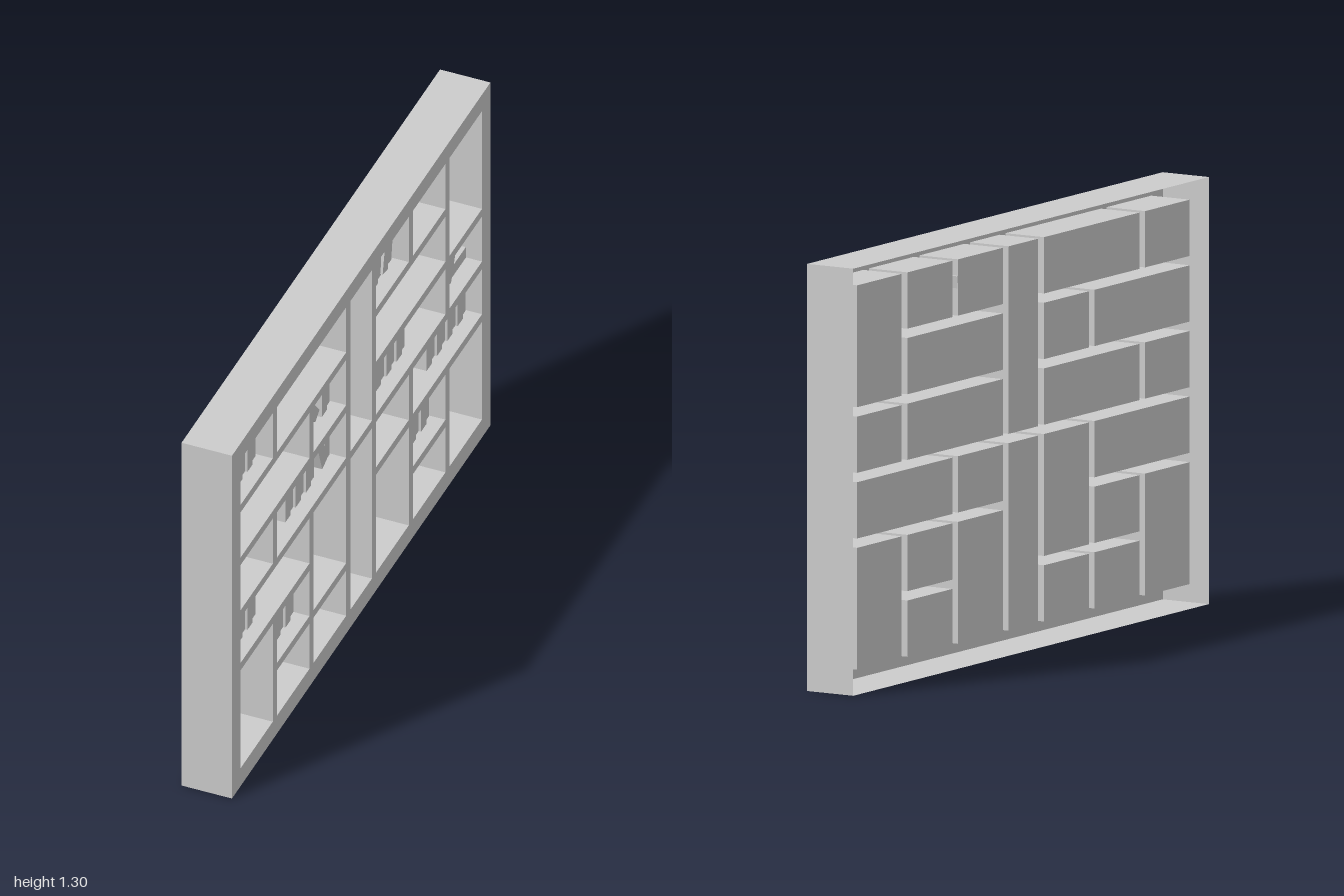
import * as THREE from 'three';

const HEIGHT = 1.305, FRONT = 0.0825, CELL_BACK = -0.055;
const ROW_Y = 0.068, ROW_PITCH = 0.2005, ROW_H = 0.172;
// left and right edges of the seven columns, seen from the open side
const COLUMNS = [[-0.935, -0.684], [-0.652, -0.4], [-0.368, -0.116], [-0.083, 0.083],
  [0.116, 0.368], [0.4, 0.652], [0.684, 0.935]];
// compartments: first column, last column, first row, last row (row 0 at the bottom)
const CELLS = [
  [0, 0, 5, 5], [1, 2, 5, 5], [4, 4, 5, 5], [5, 5, 5, 5], [6, 6, 4, 5],
  [0, 1, 4, 4], [2, 2, 4, 4], [4, 5, 4, 4],
  [0, 0, 3, 3], [1, 2, 3, 3], [4, 5, 3, 3], [6, 6, 3, 3],
  [0, 1, 2, 2], [2, 2, 1, 2], [4, 4, 2, 2], [5, 6, 2, 2],
  [0, 0, 0, 1], [1, 1, 1, 1], [4, 4, 0, 1], [5, 5, 1, 1], [6, 6, 0, 1],
  [1, 1, 0, 0], [2, 2, 0, 0], [5, 5, 0, 0],
  [3, 3, 3, 5], [3, 3, 0, 2],
];
const BOOK_W = 0.04, TALL = 0.137, SHORT = 0.122;
// upright runs: start, row, number of books, whether the first one is tall
const RUNS = [
  [-0.935, 5, 6, true], [-0.2, 4, 2, true], [-0.482, 3, 6, true], [-0.16, 3, 1, false],
  [-0.935, 2, 6, true], [-0.641, 1, 6, true], [0.117, 5, 4, true], [0.179, 3, 7, false],
  [0.685, 3, 2, true], [0.612, 2, 8, true], [0.409, 1, 6, true],
];
// leaning books: centre, row, tilt in degrees (positive leans to the left), height
const LEANING = [
  [-0.317, 4, 32, SHORT], [-0.253, 4, 39, SHORT], [-0.2, 3, 19, TALL],
  [0.304, 5, -11, TALL], [0.345, 5, -8, SHORT], [0.146, 3, 11, TALL], [0.806, 3, -21, TALL],
];

const rowY = (row) => ROW_Y + row * ROW_PITCH;

export function createModel() {
  const model = new THREE.Group();
  model.name = 'bookcase';
  // the case is built facing +z, then turned so its open side faces +x
  const body = new THREE.Group();
  body.name = 'bookcaseBody';
  body.rotation.y = Math.PI / 2;
  model.add(body);

  const sheet = new THREE.MeshStandardMaterial({ color: 0xcccccc, side: THREE.DoubleSide });
  const solid = new THREE.MeshStandardMaterial({ color: 0xcccccc });

  const add = (name, geometry, material, parent = body) => {
    const mesh = new THREE.Mesh(geometry, material);
    mesh.name = name;
    parent.add(mesh);
    return mesh;
  };

  // thin box that keeps only its four walls, plus the back when asked
  const openBox = (x0, x1, y0, y1, z0, z1, withBack) => {
    const g = new THREE.BoxGeometry(x1 - x0, y1 - y0, z1 - z0);
    g.translate((x0 + x1) / 2, (y0 + y1) / 2, (z0 + z1) / 2);
    const index = Array.from(g.index.array);
    g.setIndex(withBack ? [...index.slice(0, 24), ...index.slice(30)] : index.slice(0, 24));
    g.clearGroups();
    return g;
  };

  // outer walls, open at the rear
  add('outerWalls', openBox(-1, 1, 0, HEIGHT, -FRONT, FRONT, false), sheet);

  // front face with a hole for every compartment, and the compartments behind it
  const rectangle = (path, x0, x1, y0, y1) =>
    path.moveTo(x0, y0).lineTo(x1, y0).lineTo(x1, y1).lineTo(x0, y1).closePath();
  const face = new THREE.Shape();
  rectangle(face, -1, 1, 0, HEIGHT);
  const compartments = new THREE.Group();
  compartments.name = 'compartments';
  body.add(compartments);
  for (const [c0, c1, r0, r1] of CELLS) {
    const edges = [COLUMNS[c0][0], COLUMNS[c1][1], rowY(r0), rowY(r1) + ROW_H];
    const hole = new THREE.Path();
    rectangle(hole, ...edges);
    face.holes.push(hole);
    add('compartment', openBox(...edges, CELL_BACK, FRONT, true), sheet, compartments);
  }
  add('frontFrame', new THREE.ShapeGeometry(face), sheet).position.z = FRONT;

  // books
  const books = new THREE.Group();
  books.name = 'books';
  body.add(books);
  const addBook = (x, y, height, tilt = 0) => {
    const depth = height === TALL ? 0.092 : 0.084;
    const book = add('book', new THREE.BoxGeometry(BOOK_W, height, depth), solid, books);
    book.position.set(x, y, CELL_BACK + 0.001 + depth / 2);
    book.rotation.z = tilt;
  };
  for (const [start, row, count, tallFirst] of RUNS) {
    for (let i = 0; i < count; i++) {
      const height = (i % 2 === 0) === tallFirst ? TALL : SHORT;
      addBook(start + (i + 0.5) * BOOK_W, rowY(row) + height / 2, height);
    }
  }
  for (const [x, row, degrees, height] of LEANING) {
    const tilt = THREE.MathUtils.degToRad(degrees);
    const rise = (height * Math.cos(tilt) + BOOK_W * Math.abs(Math.sin(tilt))) / 2;
    addBook(x, rowY(row) + rise, height, tilt);
  }
  // one book lying flat
  addBook(0.873, rowY(3) + BOOK_W / 2, SHORT, Math.PI / 2);

  return model;
}
